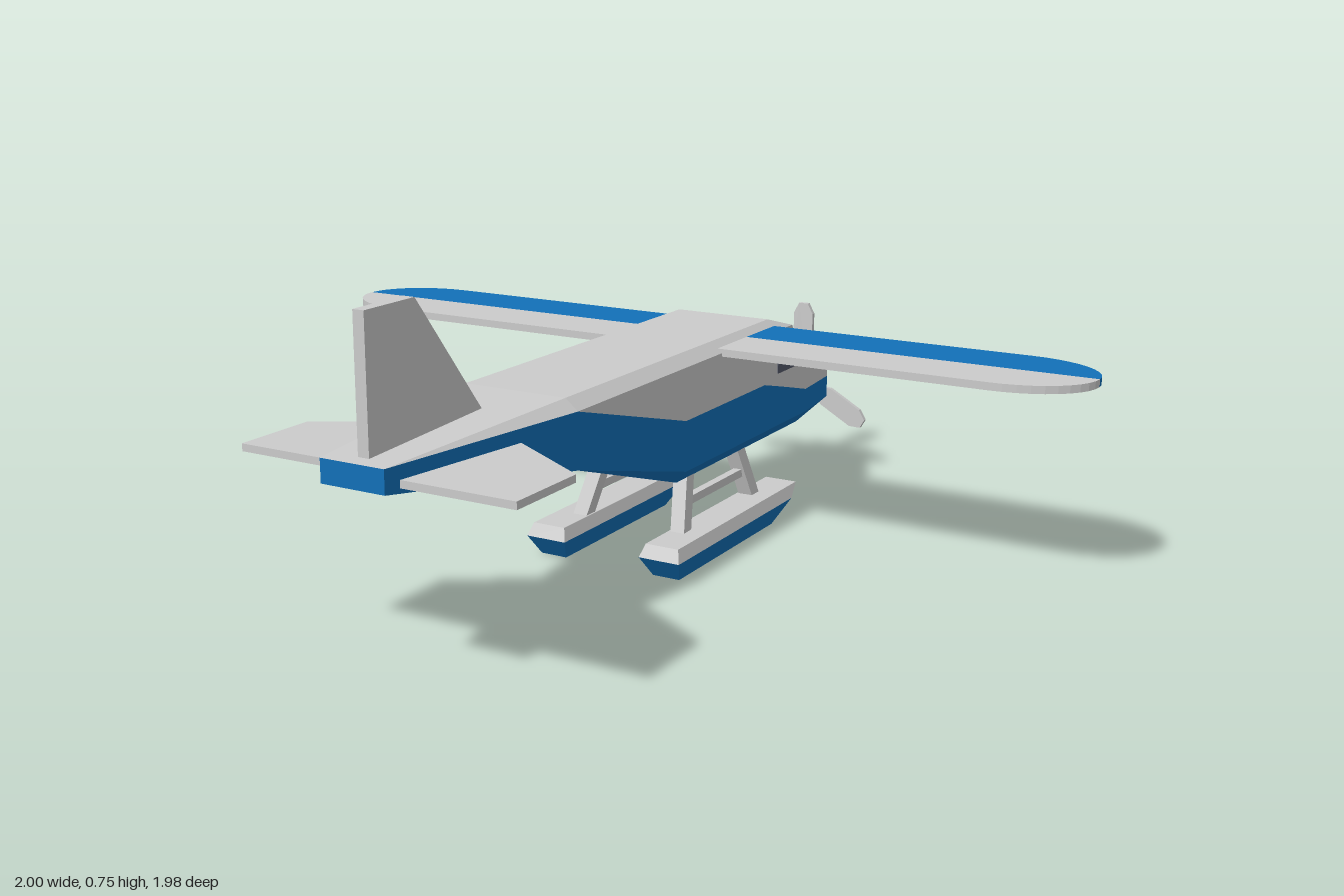
import * as THREE from 'three';

const mat = (color) => new THREE.MeshStandardMaterial({ color, flatShading: true });
const grey = mat(0xcccccc), blue = mat(0x1270b8), dark = mat(0x555a6a);

function add(parent, name, geometry, material) {
  const mesh = new THREE.Mesh(geometry, material);
  mesh.name = name;
  parent.add(mesh);
  return mesh;
}

// Collects polygons (corner lists) as fans, skipping collapsed triangles
function polygons(list) {
  const pos = [];
  const tri = new THREE.Triangle();
  for (const p of list) {
    for (let i = 1; i < p.length - 1; i++) {
      tri.set(p[0], p[i], p[i + 1]);
      if (tri.getArea() > 1e-7) for (const v of [tri.a, tri.b, tri.c]) pos.push(v.x, v.y, v.z);
    }
  }
  const g = new THREE.BufferGeometry();
  g.setAttribute('position', new THREE.Float32BufferAttribute(pos, 3));
  g.computeVertexNormals();
  return g;
}

const extrude = (shape, depth) => new THREE.ExtrudeGeometry(shape, { depth, bevelEnabled: false, curveSegments: 12 });
const outline = (pts) => new THREE.Shape(pts.map(([a, b]) => new THREE.Vector2(a, b)));

// Flat plate from an (x, z) outline, lying between y0 and y1
const plate = (pts, y0, y1) =>
  extrude(outline(pts.map(([x, z]) => [x, -z])), y1 - y0).rotateX(-Math.PI / 2).translate(0, y0, 0);

// Upright slab from a (z, y) outline, centred on x
const slab = (pts, width, x = 0) =>
  extrude(outline(pts), width).rotateY(-Math.PI / 2).translate(x + width / 2, 0, 0);

// Square-ended bar between two points
function bar(a, b, w, d) {
  const from = new THREE.Vector3(...a), to = new THREE.Vector3(...b);
  const dir = to.clone().sub(from);
  const g = new THREE.BoxGeometry(w, dir.length(), d);
  g.applyQuaternion(new THREE.Quaternion().setFromUnitVectors(new THREE.Vector3(0, 1, 0), dir.normalize()));
  return g.translate(...from.add(to).multiplyScalar(0.5).toArray());
}

function fuselage() {
  const group = new THREE.Group();
  group.name = 'fuselage';
  // z, belly x, belly y, chine y, side x, stripe y, shoulder y, roof x, roof y
  const stations = [
    [0.99, 0.075, 0.425, 0.425, 0.075, 0.475, 0.475, 0.075, 0.475],
    [0.46, 0.155, 0.35, 0.35, 0.155, 0.475, 0.475, 0.125, 0.5],
    [0, 0.13, 0.2, 0.23, 0.155, 0.35, 0.475, 0.125, 0.5],
    [-0.4, 0.13, 0.2, 0.23, 0.155, 0.35, 0.475, 0.125, 0.5],
    [-0.47, 0.13, 0.2, 0.23, 0.155, 0.333, 0.475, 0.125, 0.5],
    [-0.55, 0.13, 0.2, 0.23, 0.155, 0.313, 0.475, 0.155, 0.475],
    [-0.64, 0.13, 0.2, 0.23, 0.155, 0.29, 0.35, 0.155, 0.35],
    [-0.93, 0.085, 0.2, 0.2, 0.085, 0.257, 0.277, 0.085, 0.277],
  ];
  const rings = stations.map(([z, bx, by, cy, w, sy, hy, tx, ty]) => {
    const half = [[bx, by], [w, cy], [w, sy], [w, hy], [tx, ty]];
    const mirror = half.map(([x, y]) => [-x, y]).reverse();
    return [...half, ...mirror].map(([x, y]) => new THREE.Vector3(x, y, z));
  });
  const upper = [], lower = [];
  for (let i = 0; i < rings.length - 1; i++) {
    for (let k = 0; k < 10; k++) {
      const n = (k + 1) % 10;
      const rearBelly = k === 9 && i === 0;
      const target = (k >= 2 && k <= 6) || rearBelly ? upper : lower;
      target.push([rings[i][k], rings[i + 1][k], rings[i + 1][n], rings[i][n]]);
    }
  }
  // End caps
  const tail = rings[0], nose = rings[rings.length - 1];
  lower.push([tail[0], tail[2], tail[7], tail[9]]);
  lower.push([nose[9], nose[7], nose[2], nose[0]]);
  upper.push([nose[7], nose[6], nose[3], nose[2]]);
  add(group, 'upperHull', polygons(upper), grey);
  add(group, 'lowerHull', polygons(lower), blue);
  // One wrap-around band forms the windscreen and both side windows
  add(group, 'cockpitWindows', slab([[-0.47, 0.365], [-0.47, 0.43], [-0.586, 0.43], [-0.633, 0.365]], 0.314), dark);
  return group;
}

function wings() {
  const group = new THREE.Group();
  group.name = 'wings';
  // Each half of the chord runs tip to tip, with quarter-ellipse ends
  for (const [name, side, material] of [['wingFront', -1, blue], ['wingRear', 1, grey]]) {
    const pts = [];
    for (let i = 0; i <= 20; i++) {
      const a = ((i % 11) / 10) * (Math.PI / 2);
      if (i <= 10) pts.push([0.8 + 0.2 * Math.cos(a), -0.32 + side * 0.15 * Math.sin(a)]);
    }
    const mirror = pts.map(([x, z]) => [-x, z]).reverse();
    add(group, name, plate([...pts, ...mirror], 0.467, 0.485), material);
  }
  return group;
}

function tailplane() {
  const group = new THREE.Group();
  group.name = 'tail';
  add(group, 'fin', slab([[0.955, 0.46], [0.955, 0.755], [0.805, 0.755], [0.57, 0.46]], 0.026), grey);
  add(group, 'leftStabilizer', plate([[0.05, 0.58], [0.338, 0.757], [0.338, 0.952], [0.05, 0.952]], 0.43, 0.446), grey);
  add(group, 'rightStabilizer', plate([[-0.05, 0.54], [-0.34, 0.72], [-0.34, 0.912], [-0.05, 0.912]], 0.43, 0.446), grey);
  return group;
}

function float(side) {
  const group = new THREE.Group();
  group.name = side > 0 ? 'leftFloat' : 'rightFloat';
  const x = 0.152 * side;
  // y, stern z, bow z, half width
  const levels = [[0, 0.085, -0.39, 0.034], [0.05, 0.12, -0.465, 0.052], [0.08, 0.105, -0.51, 0.042]]
    .map(([y, zs, zb, w]) => [[w, zs], [w, zb], [-w, zb], [-w, zs]].map(([dx, z]) => new THREE.Vector3(x + dx, y, z)));
  const walls = (a, b) => a.map((p, i) => [p, a[(i + 1) % 4], b[(i + 1) % 4], b[i]]);
  add(group, 'floatHull', polygons([...walls(levels[0], levels[1]), [...levels[0]].reverse()]), blue);
  add(group, 'floatDeck', polygons([...walls(levels[1], levels[2]), levels[2]]), grey);
  // Struts up to the belly, joined by a crossbar
  add(group, 'rearStrut', bar([0.134 * side, 0.07, -0.015], [0.11 * side, 0.215, -0.073], 0.036, 0.034), grey);
  add(group, 'frontStrut', bar([0.134 * side, 0.07, -0.37], [0.11 * side, 0.215, -0.32], 0.036, 0.034), grey);
  add(group, 'crossbar', bar([0.122 * side, 0.14, -0.045], [0.122 * side, 0.14, -0.345], 0.02, 0.02), grey);
  return group;
}

function propeller() {
  const group = new THREE.Group();
  group.name = 'propeller';
  add(group, 'hub', new THREE.CylinderGeometry(0.02, 0.02, 0.045, 8).rotateX(Math.PI / 2).translate(0, 0, 0.005), grey);
  add(group, 'spinner', new THREE.CylinderGeometry(0.02, 0.012, 0.02, 8).rotateX(Math.PI / 2).translate(0, 0, -0.027), grey);
  const half = [[0.01, 0], [0.012, 0.05], [0.028, 0.085], [0.028, 0.185], [0.013, 0.213]];
  const pts = [...half, ...half.map(([x, y]) => [-x, y]).reverse()];
  for (let i = 0; i < 3; i++) {
    const blade = add(group, 'blade', extrude(outline(pts), 0.012).translate(0, 0, -0.006), grey);
    blade.rotation.z = (i * Math.PI * 2) / 3;
  }
  group.position.set(0, 0.235, -0.955);
  return group;
}

export function createModel() {
  const model = new THREE.Group();
  model.name = 'floatplane';
  model.add(fuselage(), wings(), tailplane(), float(1), float(-1), propeller());
  return model;
}
